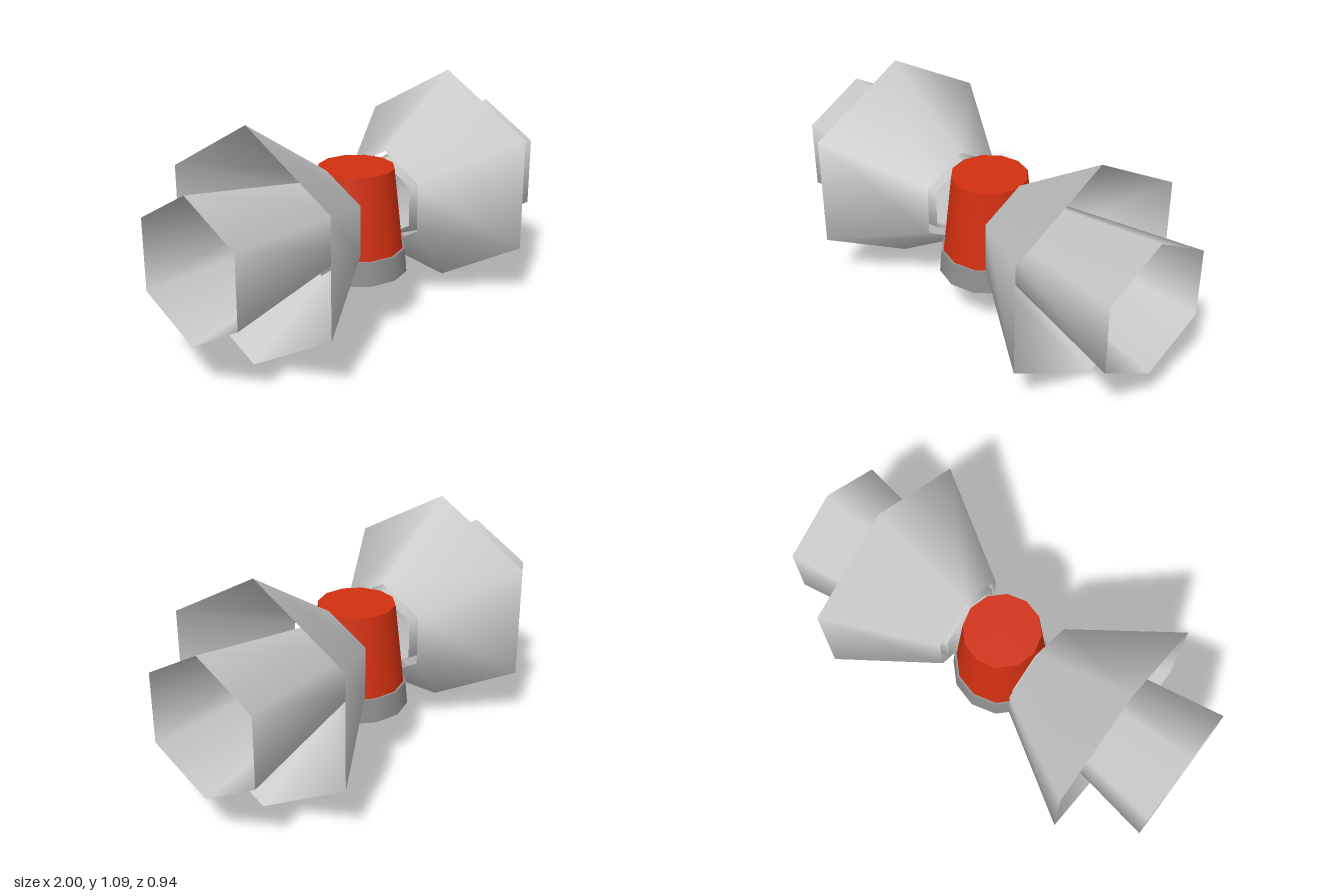
import * as THREE from 'three';

export function createModel() {
  const model = new THREE.Group();
  model.name = 'twinHornBeacon';

  const paint = (name, color) => {
    const m = new THREE.MeshStandardMaterial({ color, side: THREE.DoubleSide });
    m.name = name;
    return m;
  };
  const hornGray = paint('hornGray', 0xcacaca);
  const baseGray = paint('baseGray', 0x909090);
  const red = paint('beaconRed', 0xd23010);

  const add = (parent, name, geometry, material) => {
    const mesh = new THREE.Mesh(geometry, material);
    mesh.name = name;
    parent.add(mesh);
    return mesh;
  };

  // Tapered red lamp
  const lamp = new THREE.CylinderGeometry(0.178, 0.22, 0.385, 12);
  lamp.translate(0, 0.5585, 0);
  add(model, 'lamp', lamp, red);

  // Base: a cup open underneath, with a lid below the lamp
  const skirt = new THREE.CylinderGeometry(0.23, 0.24, 0.113, 12, 1, true);
  skirt.translate(0, 0.3085, 0);
  add(model, 'baseSkirt', skirt, baseGray);
  const lid = new THREE.CircleGeometry(0.23, 12);
  lid.rotateX(-Math.PI / 2).translate(0, 0.365, 0);
  add(model, 'baseLid', lid, baseGray);

  // Open six-sided funnel along x, with corners at top and bottom
  const funnel = (x0, r0, x1, r1) => {
    const g = new THREE.CylinderGeometry(r1, r0, x1 - x0, 6, 1, true, Math.PI / 2);
    return g.rotateZ(-Math.PI / 2).translate((x0 + x1) / 2, 0.543, 0);
  };

  // A pair of horns, each a wide bell around a longer tube
  for (const side of [1, -1]) {
    const horn = new THREE.Group();
    horn.name = side > 0 ? 'leftHorn' : 'rightHorn';
    add(horn, 'bell', funnel(0.197, 0.235, 0.667, 0.543), hornGray);
    add(horn, 'tube', funnel(0.185, 0.19, 1, 0.33), hornGray);
    if (side < 0) horn.rotation.y = Math.PI;
    model.add(horn);
  }

  return model;
}
